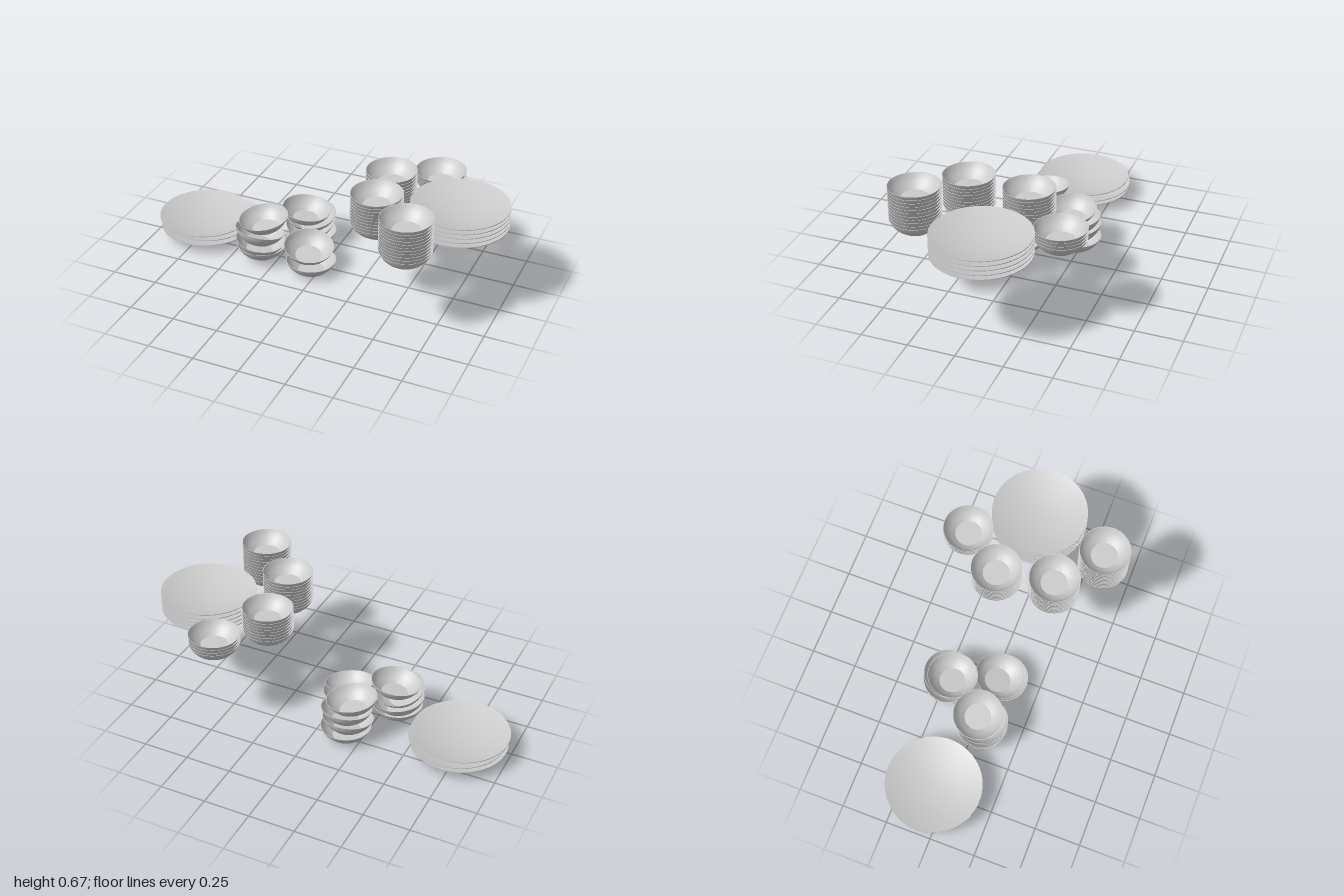
import * as THREE from 'three';
import { toCreasedNormals } from 'three/addons/utils/BufferGeometryUtils.js';

const BOWL_H = 0.07;
const PLATE_H = 0.041;

// Thin closed dish: outer wall from centre to rim, then the inner wall back to the centre
function dishGeometry(profile, segments, crease) {
  const pts = profile.map(([r, y]) => new THREE.Vector2(r, y));
  return toCreasedNormals(new THREE.LatheGeometry(pts, segments), crease);
}

export function createModel() {
  const model = new THREE.Group();
  const material = new THREE.MeshStandardMaterial({ color: 0xcccccc, side: THREE.DoubleSide });

  const bowlGeo = dishGeometry([
    [0, 0], [0.073, 0], [0.098, 0.018], [0.115, 0.035], [0.127, 0.052], [0.135, BOWL_H],
    [0.132, BOWL_H], [0.123, 0.053], [0.111, 0.037], [0.095, 0.021], [0.071, 0.004], [0, 0.004],
  ], 48, 0.5);
  const plateGeo = dishGeometry([
    [0, 0], [0.14, 0], [0.2555, 0.037], [0.2555, PLATE_H], [0.14, 0.004], [0, 0.004],
  ], 64, 0.5);

  // Places a dish by the centre of its rim and the slopes of its rim along x and z
  const up = new THREE.Vector3(0, 1, 0);
  function place(parent, geo, name, height, [x, y, z, slopeX = 0, slopeZ = 0]) {
    const mesh = new THREE.Mesh(geo, material);
    const normal = new THREE.Vector3(-slopeX, 1, -slopeZ).normalize();
    mesh.name = name;
    mesh.quaternion.setFromUnitVectors(up, normal);
    mesh.position.set(x, y, z).addScaledVector(normal, -height);
    parent.add(mesh);
  }
  function group(name) {
    const g = new THREE.Group();
    g.name = name;
    model.add(g);
    return g;
  }

  // Neat bowl stacks: x, z, number of bowls, height of the top rim
  const base = 0.414;
  [
    [0.605, 0.365, 11, 0.665],
    [0.375, 0.172, 10, 0.645],
    [0.335, -0.135, 8, 0.609],
    [0.527, -0.368, 4, 0.534],
  ].forEach(([x, z, count, top]) => {
    const stack = group('bowlStack');
    const step = (top - base - BOWL_H) / (count - 1);
    for (let i = 0; i < count; i++) {
      const tilt = 0.015 * i / (count - 1);
      place(stack, bowlGeo, 'bowl', BOWL_H, [x, base + BOWL_H + i * step, z, tilt, -tilt]);
    }
  });

  // Neat plate stack
  const plates = group('plateStack');
  for (let i = 0; i < 5; i++) {
    place(plates, plateGeo, 'plate', PLATE_H, [0.744, base + PLATE_H + i * 0.025, -0.043]);
  }

  // Loose plate pile
  const loosePlates = group('loosePlates');
  [
    [-0.738, 0.06, -0.08],
    [-0.732, 0.09, -0.087],
    [-0.744, 0.12, -0.073],
  ].forEach((p) => place(loosePlates, plateGeo, 'plate', PLATE_H, p));

  // Loose, tilted bowl piles: rim centre, then slopes along x and z
  [
    [
      [-0.34, 0.09, 0.04],
      [-0.345, 0.12, 0.045, -0.13, 0],
      [-0.345, 0.181, 0.05, -0.12, 0.22],
      [-0.337, 0.244, 0.02, 0.1, -0.08],
    ],
    [
      [-0.042, 0.07, 0.05],
      [-0.06, 0.142, 0.037, -0.13, -0.16],
    ],
    [
      [-0.16, 0.07, -0.225],
      [-0.17, 0.122, -0.222, 0, -0.18],
      [-0.16, 0.178, -0.22, 0, -0.17],
      [-0.175, 0.226, -0.19, -0.12, 0],
    ],
  ].forEach((pile) => {
    const g = group('looseBowls');
    pile.forEach((p) => place(g, bowlGeo, 'bowl', BOWL_H, p));
  });

  return model;
}
